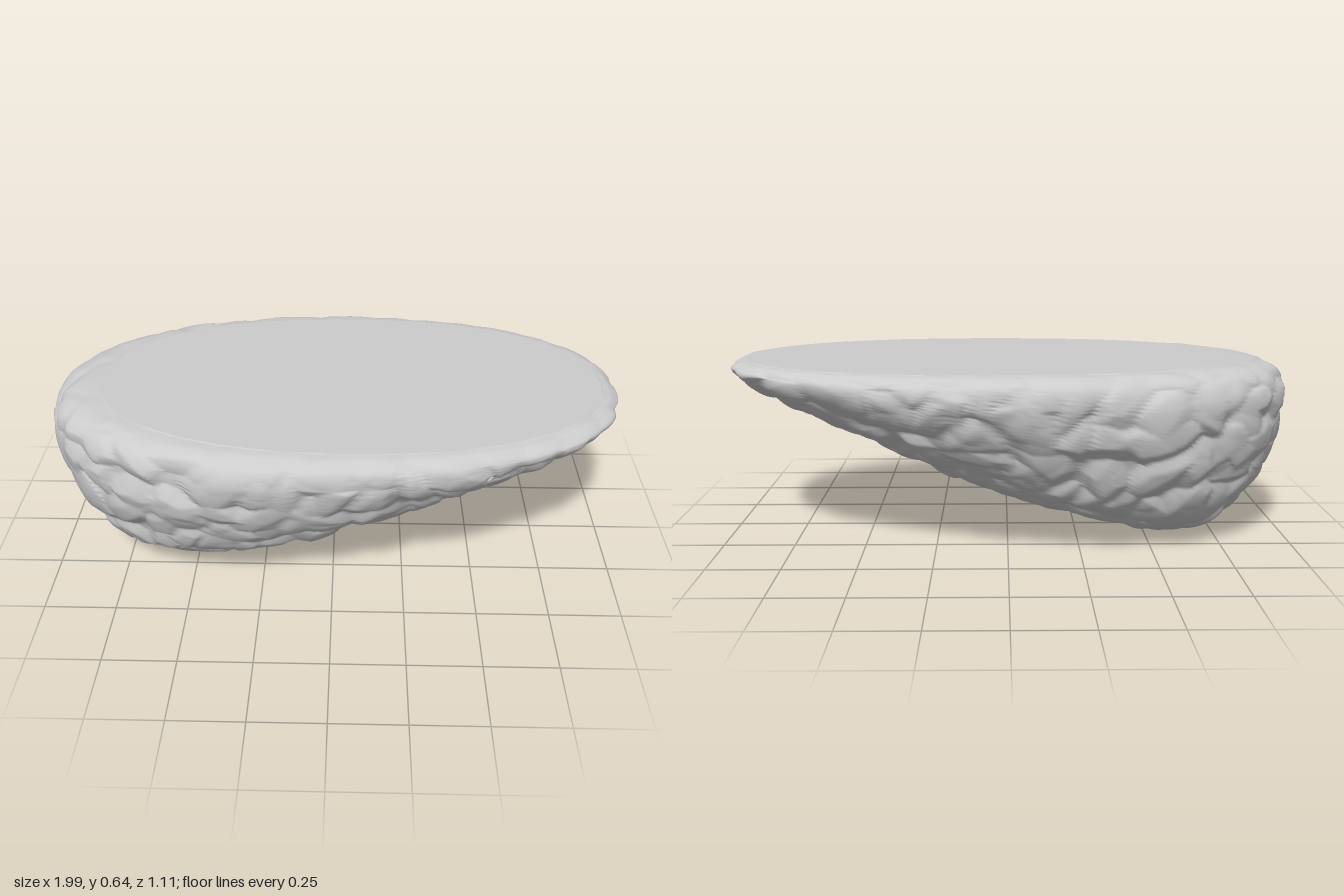
import * as THREE from 'three';

const AROUND = 300, DOWN = 220, TOP = 0.645;

// Levels from the flat top to the lowest point: [y, xMin, xMax, halfDepth]
const LEVELS = [
  [TOP, -0.82, 0.93, 0.47], [0.637, -0.9, 0.965, 0.507], [0.61, -0.962, 0.99, 0.544],
  [0.56, -0.995, 0.93, 0.556], [0.5, -1.0, 0.81, 0.546], [0.4, -0.987, 0.6, 0.512], [0.3, -0.955, 0.38, 0.464],
  [0.2, -0.905, 0.145, 0.404], [0.1, -0.83, -0.155, 0.3], [0.048, -0.765, -0.34, 0.208],
  [0.017, -0.68, -0.46, 0.108], [0.008, -0.59, -0.57, 0.01],
];

function seeded(seed) {
  return () => {
    seed = (seed * 1664525 + 1013904223) >>> 0;
    return seed / 4294967296;
  };
}

// Evenly scattered stones, each a tilted flat face with chamfered sides;
// the highest stone wins at any point
function makeStones(points, count, flat, slope, lift, rand) {
  const stones = [];
  const direction = () => new THREE.Vector3(rand() - 0.5, rand() - 0.5, rand() - 0.5).normalize();
  for (let i = 0; i < count; i++) {
    let best = null, bestDist = -1;
    for (let k = 0; k < 24; k++) {
      const p = points[Math.floor(rand() * points.length)];
      let d = Infinity;
      for (const s of stones) d = Math.min(d, s.p.distanceToSquared(p));
      if (d > bestDist) { bestDist = d; best = p; }
    }
    const sides = Array.from({ length: 6 }, () => direction().multiplyScalar(slope * (0.6 + 0.8 * rand())));
    stones.push({ p: best, lean: direction().multiplyScalar(slope * 0.3), sides, h: (rand() - 0.5) * lift });
  }
  const d = new THREE.Vector3();
  return (p) => {
    let top = -0.04;
    for (const s of stones) {
      const dist = d.subVectors(p, s.p).lengthSq();
      if (dist > 0.04) continue;
      let drop = 0;
      for (const side of s.sides) drop = Math.max(drop, side.dot(d) - flat * slope);
      top = Math.max(top, s.h + s.lean.dot(d) - drop - 1.5 * slope * dist);
    }
    return top;
  };
}

// Smooth half-egg made of horizontal rounded outlines
function baseShell() {
  const size = new THREE.CatmullRomCurve3(
    LEVELS.map(([y, l, r]) => new THREE.Vector3((l + r) / 2, y, (r - l) / 2)), false, 'catmullrom', 0.5);
  const depth = new THREE.CatmullRomCurve3(
    LEVELS.map(([y, , , w]) => new THREE.Vector3(w, y, 0)), false, 'catmullrom', 0.5);
  const pos = [], index = [];
  for (let i = 0; i <= DOWN; i++) {
    const s = size.getPoint(i / DOWN), w = depth.getPoint(i / DOWN).x;
    for (let j = 0; j < AROUND; j++) {
      const a = (j / AROUND) * Math.PI * 2, c = Math.cos(a), n = Math.sin(a);
      const r = Math.pow(Math.abs(c) ** 2.2 + Math.abs(n) ** 2.2, -1 / 2.2);
      pos.push(s.x + s.z * c * r, s.y, w * n * r);
      if (i < DOWN) {
        const k = (j + 1) % AROUND, A = i * AROUND, B = A + AROUND;
        index.push(A + j, A + k, B + j, A + k, B + k, B + j);
      }
    }
  }
  // Close the lowest point
  const tip = pos.length / 3;
  pos.push(-0.58, 0.008, 0);
  for (let j = 0; j < AROUND; j++) {
    index.push(DOWN * AROUND + j, DOWN * AROUND + (j + 1) % AROUND, tip);
  }
  const geo = new THREE.BufferGeometry();
  geo.setAttribute('position', new THREE.Float32BufferAttribute(pos, 3));
  geo.setIndex(index);
  geo.computeVertexNormals();
  return geo;
}

export function createModel() {
  const group = new THREE.Group();
  group.name = 'rockSlab';
  const material = new THREE.MeshStandardMaterial({ color: 0xcccccc });

  // Craggy underside: large angular stones with smaller chipped facets on them
  const geo = baseShell();
  const pos = geo.attributes.position, nor = geo.attributes.normal;
  const points = [];
  for (let i = 0; i < pos.count; i++) points.push(new THREE.Vector3().fromBufferAttribute(pos, i));
  const rand = seeded(17);
  const stones = makeStones(points, 200, 0.03, 0.42, 0.006, rand);
  const chips = makeStones(points, 320, 0.02, 0.1, 0.002, rand);
  const n = new THREE.Vector3();
  points.forEach((p, i) => {
    n.fromBufferAttribute(nor, i);
    const fade = 0.15 + 0.85 * THREE.MathUtils.smoothstep(Math.floor(i / AROUND) / DOWN, 0, 0.3);
    const move = THREE.MathUtils.clamp(stones(p) + chips(p), -0.028, 0.009) * fade;
    const q = p.clone().addScaledVector(n, move);
    const y = i < AROUND ? TOP : THREE.MathUtils.clamp(q.y, 0, TOP);
    pos.setXYZ(i, q.x, y, q.z);
  });
  geo.computeVertexNormals();
  const underside = new THREE.Mesh(geo, material);
  underside.name = 'craggyUnderside';
  group.add(underside);

  // Flat top, fanned from the centre to the rim
  const cap = [0, TOP, 0], fan = [];
  for (let j = 0; j < AROUND; j++) {
    cap.push(pos.getX(j), TOP, pos.getZ(j));
    fan.push(0, 1 + (j + 1) % AROUND, 1 + j);
  }
  const capGeo = new THREE.BufferGeometry();
  capGeo.setAttribute('position', new THREE.Float32BufferAttribute(cap, 3));
  capGeo.setIndex(fan);
  capGeo.computeVertexNormals();
  const top = new THREE.Mesh(capGeo, material);
  top.name = 'flatTop';
  group.add(top);
  return group;
}
